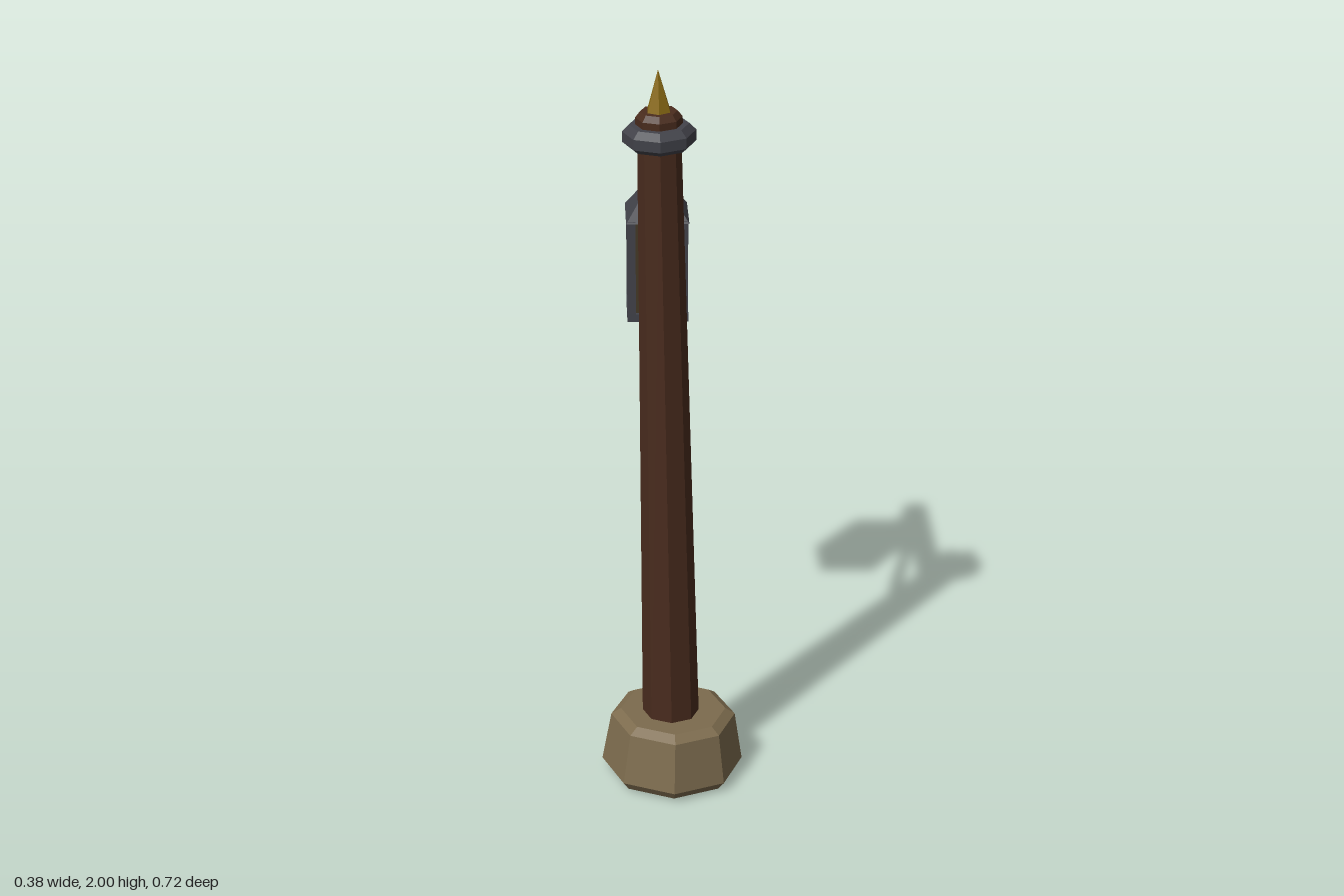
import * as THREE from 'three';

const mat = (color) => new THREE.MeshStandardMaterial({ color, flatShading: true });

export function createModel() {
  const model = new THREE.Group();
  const wood = mat(0x4a2c1e), iron = mat(0x42434a), stone = mat(0x7d6c4e);
  const gold = mat(0x8a6a14), glass = mat(0x453a26);

  const add = (parent, name, geometry, material, x = 0, y = 0, z = 0) => {
    const mesh = new THREE.Mesh(geometry, material);
    mesh.name = name;
    mesh.position.set(x, y, z);
    parent.add(mesh);
    return mesh;
  };
  // Faceted turned part; profile runs from bottom to top as [radius, height]
  const turned = (profile, sides = 8) =>
    new THREE.LatheGeometry(profile.map(([r, y]) => new THREE.Vector2(r, y)), sides);

  // Stone foot, sitting slightly crooked
  const foot = add(model, 'stoneFoot', turned([
    [0, 0], [0.172, 0], [0.191, 0.025], [0.168, 0.163], [0.142, 0.18], [0, 0.18],
  ]), stone, 0, 0.004, 0.172);
  foot.rotation.set(-0.015, 0, -0.02);

  // Leaning post with its collar, cap and spike
  const post = new THREE.Group();
  post.name = 'post';
  post.position.set(0, 0, 0.17);
  post.rotation.set(0.025, 0, 0.018);
  model.add(post);
  add(post, 'pole', new THREE.CylinderGeometry(0.054, 0.077, 1.74, 8), wood, 0, 0.97, 0);
  add(post, 'collar', turned([
    [0, 1.805], [0.076, 1.805], [0.091, 1.818], [0.091, 1.845], [0.074, 1.862], [0, 1.862],
  ]), iron);
  add(post, 'cap', turned([
    [0.058, 1.85], [0.058, 1.88], [0.046, 1.895], [0, 1.895],
  ]), wood);
  add(post, 'spike', new THREE.ConeGeometry(0.034, 0.112, 6), gold, 0, 1.944, 0);

  // Cross arm: square bar with chamfered corners and ends
  const h = 0.022, c = 0.005, bevel = 0.008, armLength = 0.5;
  const section = new THREE.Shape([
    [-h + c, -h], [h - c, -h], [h, -h + c], [h, h - c],
    [h - c, h], [-h + c, h], [-h, h - c], [-h, -h + c],
  ].map(([x, y]) => new THREE.Vector2(x, y)));
  const armGeometry = new THREE.ExtrudeGeometry(section, {
    depth: armLength - 2 * bevel, bevelSize: bevel, bevelThickness: bevel, bevelSegments: 1,
  });
  armGeometry.translate(0, 0, bevel - armLength / 2);
  const arm = add(model, 'arm', armGeometry, wood, -0.03, 1.682, -0.052);
  arm.rotation.x = 0.02;

  // Bent brace, drawn as a side outline (z, y) and given a width
  const outline = new THREE.Shape([
    [0.18, 1.38], [0.18, 1.41], [-0.115, 1.625], [-0.245, 1.658],
    [-0.25, 1.638], [-0.115, 1.598],
  ].map(([z, y]) => new THREE.Vector2(z, y)));
  const braceGeometry = new THREE.ExtrudeGeometry(outline, { depth: 0.026, bevelEnabled: false });
  braceGeometry.translate(0, 0, -0.013).rotateY(-Math.PI / 2);
  add(model, 'brace', braceGeometry, iron, -0.03, 0, 0);

  // Hanging lantern
  const lantern = new THREE.Group();
  lantern.name = 'lantern';
  lantern.position.set(-0.025, 1.17, -0.277);
  model.add(lantern);
  add(lantern, 'hanger', new THREE.BoxGeometry(0.02, 0.15, 0.02), iron, -0.003, 0.42, 0.006);
  const roof = new THREE.CylinderGeometry(
    0.026 * Math.SQRT2, 0.084 * Math.SQRT2, 0.085, 4, 1, false, Math.PI / 4);
  add(lantern, 'roof', roof, iron, 0, 0.322, 0);
  add(lantern, 'floor', new THREE.BoxGeometry(0.164, 0.022, 0.164), iron, 0, 0.011, 0);
  add(lantern, 'glass', new THREE.BoxGeometry(0.142, 0.26, 0.142), glass, 0, 0.15, 0);
  for (const x of [-1, 1]) {
    for (const z of [-1, 1]) {
      add(lantern, 'cornerPost', new THREE.BoxGeometry(0.022, 0.27, 0.022), iron,
        x * 0.07, 0.15, z * 0.07);
    }
  }
  return model;
}
